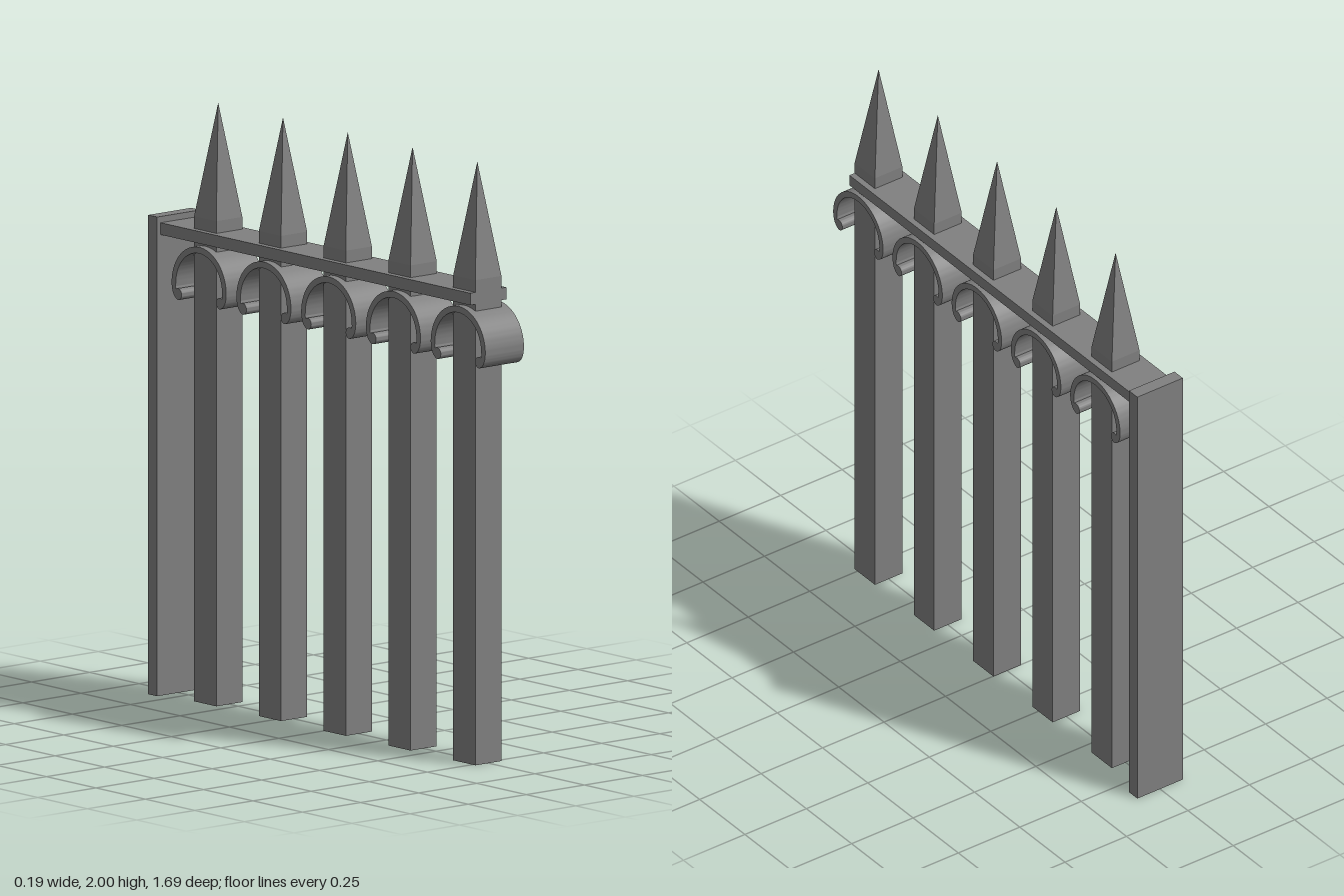
import * as THREE from 'three';
import { toCreasedNormals } from 'three/addons/utils/BufferGeometryUtils.js';

const iron = new THREE.MeshStandardMaterial({ color: 0x808080 });
iron.name = 'grey iron';

function add(parent, name, geometry, x, y, z) {
  const mesh = new THREE.Mesh(geometry, iron);
  mesh.name = name;
  mesh.position.set(x, y, z);
  parent.add(mesh);
  return mesh;
}

// Horseshoe band with a small bead curled inwards at each end
function scrollGeometry(width) {
  const half = new THREE.Path();
  half.moveTo(0, 0.138);
  half.absarc(0, 0, 0.138, Math.PI / 2, 0, true);
  half.quadraticCurveTo(0.136, -0.045, 0.106, -0.054);
  half.absarc(0.106, -0.035, 0.019, -Math.PI / 2, -Math.PI * 5 / 3, true);
  half.quadraticCurveTo(0.119, -0.012, 0.117, 0);
  half.absarc(0, 0, 0.117, 0, Math.PI / 2, false);
  const right = half.getPoints(14);
  const left = right.slice(1, -1).reverse().map(p => new THREE.Vector2(-p.x, p.y));
  const geo = new THREE.ExtrudeGeometry(new THREE.Shape([...right, ...left]), {
    depth: width, bevelEnabled: false,
  });
  geo.translate(0, 0, -width / 2);
  geo.rotateY(Math.PI / 2);
  return toCreasedNormals(geo, 0.6);
}

export function createModel() {
  const fence = new THREE.Group();
  fence.name = 'fence';

  const side = 0.112, shoulder = 1.62;
  const postGeo = new THREE.BoxGeometry(side, shoulder, side);
  const spikeGeo = new THREE.ConeGeometry(side / Math.SQRT2, 2 - shoulder, 4, 1, true)
    .rotateY(Math.PI / 4).toNonIndexed();
  spikeGeo.computeVertexNormals();
  const scrollGeo = scrollGeometry(0.166);

  // Five spiked pickets, each with a scroll under the rail
  for (let i = 0; i < 5; i++) {
    const picket = new THREE.Group();
    picket.name = 'picket' + (i + 1);
    picket.position.z = 0.709 - i * 0.3273;
    add(picket, 'post', postGeo, 0, shoulder / 2, 0);
    add(picket, 'spike', spikeGeo, 0, (2 + shoulder) / 2, 0);
    add(picket, 'scroll', scrollGeo, 0, 1.39, 0);
    fence.add(picket);
  }

  // Rail joining the pickets to the end panel
  add(fence, 'rail', new THREE.BoxGeometry(0.155, 0.04, 1.565), 0, 1.559, -0.018);
  add(fence, 'endPanel', new THREE.BoxGeometry(0.185, 1.6, 0.046), 0, 0.8, -0.823);
  return fence;
}
